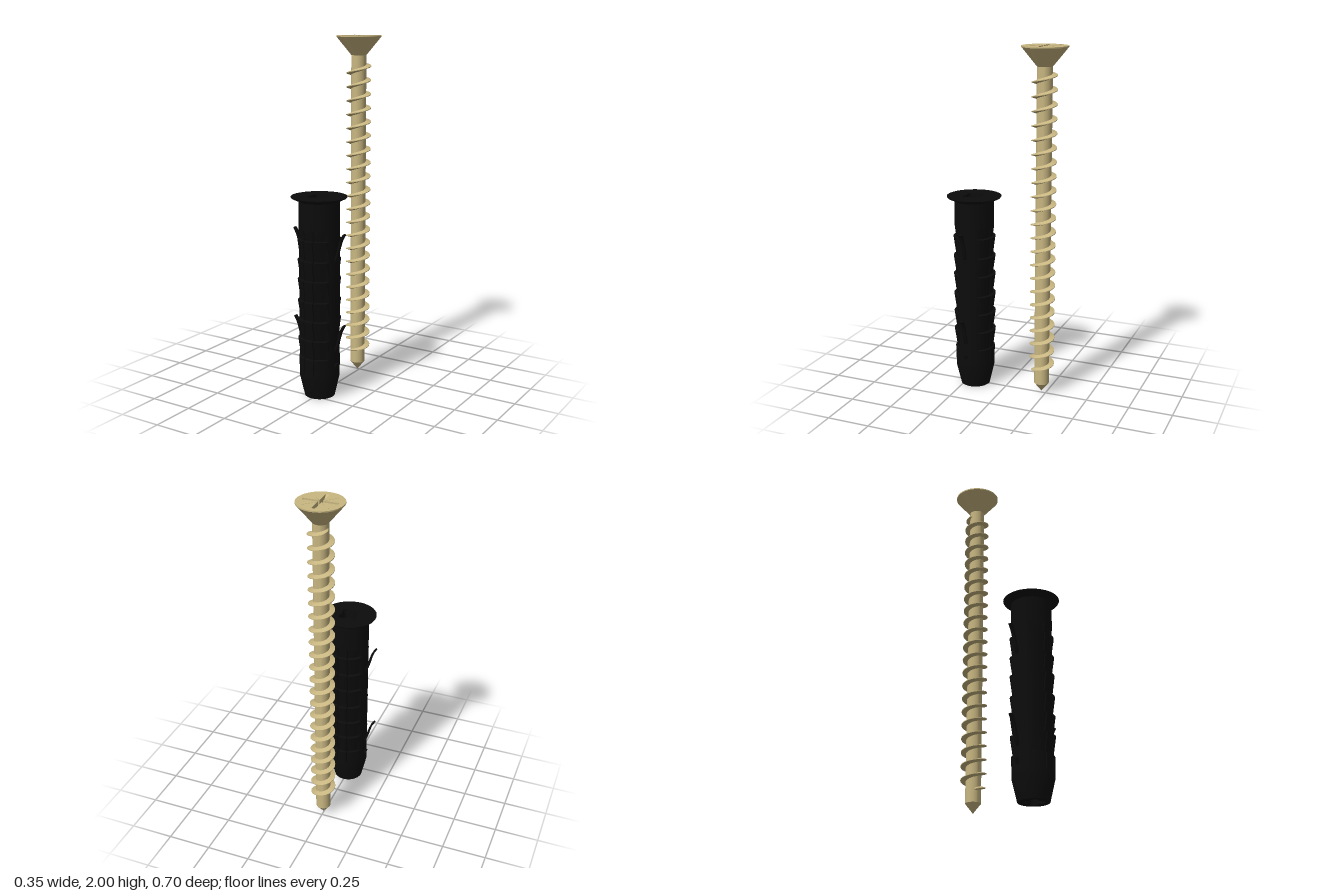
import * as THREE from 'three';
import { toCreasedNormals } from 'three/addons/utils/BufferGeometryUtils.js';

const brass = new THREE.MeshStandardMaterial({ color: 0xc9b782, side: THREE.DoubleSide });
brass.name = 'brass';
const plastic = new THREE.MeshStandardMaterial({ color: 0x0c0c0c, side: THREE.DoubleSide });
plastic.name = 'black plastic';

function add(parent, name, geometry, material) {
  const mesh = new THREE.Mesh(geometry, material);
  mesh.name = name;
  parent.add(mesh);
  return mesh;
}

// Skins a stack of equal-length closed rings; optionally closes both ends of a curved wall section
function loft(rings, capWall) {
  const n = rings[0].length, pos = [];
  const tri = (...points) => points.forEach(p => pos.push(p[0], p[1], p[2]));
  for (let l = 0; l < rings.length - 1; l++) {
    for (let i = 0; i < n; i++) {
      const k = (i + 1) % n, a = rings[l][i], b = rings[l][k], c = rings[l + 1][k], d = rings[l + 1][i];
      tri(a, d, c);
      tri(a, c, b);
    }
  }
  if (capWall) {
    const top = rings[rings.length - 1], bottom = rings[0];
    for (let j = 0; j < n / 2 - 1; j++) {
      const i = n - 1 - j;
      tri(top[j], top[i], top[i - 1]);
      tri(top[j], top[i - 1], top[j + 1]);
      tri(bottom[j], bottom[i - 1], bottom[i]);
      tri(bottom[j], bottom[j + 1], bottom[i - 1]);
    }
  }
  const g = new THREE.BufferGeometry();
  g.setAttribute('position', new THREE.Float32BufferAttribute(pos, 3));
  return toCreasedNormals(g, 0.6);
}

const lathe = (points, segments = 48) => toCreasedNormals(
  new THREE.LatheGeometry(points.map(p => new THREE.Vector2(p[0], p[1])), segments), 0.5);

// Helical thread with a tapered ridge section that fades at both ends
function threadGeometry() {
  const yTop = 1.862, yBottom = 0.135, pitch = 0.079, perTurn = 32;
  const count = Math.round((yTop - yBottom) / pitch * perTurn), rings = [];
  for (let i = 0; i <= count; i++) {
    const t = -i / perTurn * Math.PI * 2, y = yTop - i / perTurn * pitch;
    const fade = Math.min(1, i / 6, (count - i) / 10);
    const crest = 0.043 + 0.028 * fade;
    const point = (r, dy) => [-r * Math.cos(t), y + dy, r * Math.sin(t)];
    rings.push([point(0.04, -0.011), point(crest, -0.002), point(crest, 0.002), point(0.04, 0.011)]);
  }
  return loft(rings, false);
}

// One arm of the drive recess: two walls, a flat floor and a ramp
function recessArm() {
  const w = 0.01, d = -0.06, pos = [];
  const quad = (a, b, c, e) => [a, b, c, a, c, e].forEach(p => pos.push(...p));
  for (const s of [-w, w]) quad([w, 0, s], [0.096, 0, s], [0.04, d, s], [w, d, s]);
  quad([0.04, d, -w], [0.04, d, w], [0.096, 0, w], [0.096, 0, -w]);
  quad([0, d, -w], [0, d, w], [0.04, d, w], [0.04, d, -w]);
  const g = new THREE.BufferGeometry();
  g.setAttribute('position', new THREE.Float32BufferAttribute(pos, 3));
  g.computeVertexNormals();
  return g;
}

function createScrew() {
  const screw = new THREE.Group();
  screw.name = 'screw';
  screw.position.z = -0.225;
  add(screw, 'shank', lathe([[0, 0.01], [0.043, 0.065], [0.043, 1.9]], 32), brass);
  add(screw, 'thread', threadGeometry(), brass);
  add(screw, 'countersunkHead', lathe([[0.043, 1.89], [0.127, 1.993], [0.127, 2]], 64), brass);

  // Head face pierced by a cross
  const face = new THREE.Shape().absarc(0, 0, 0.127, 0, Math.PI * 2);
  const cross = [];
  for (let k = 0; k < 4; k++) {
    const c = Math.round(Math.cos(k * Math.PI / 2)), s = Math.round(Math.sin(k * Math.PI / 2));
    for (const [x, y] of [[0.096, -0.01], [0.096, 0.01], [0.01, 0.01]]) {
      cross.push(new THREE.Vector2(c * x - s * y, s * x + c * y));
    }
  }
  face.holes.push(new THREE.Path(cross));
  const faceMesh = add(screw, 'headFace', new THREE.ShapeGeometry(face, 64), brass);
  faceMesh.rotation.x = -Math.PI / 2;
  faceMesh.position.y = 2;

  for (let k = 0; k < 4; k++) {
    const arm = add(screw, 'driveRecess', recessArm(), brass);
    arm.position.y = 2;
    arm.rotation.y = k * Math.PI / 2;
    // Thin diagonal tick between the arms
    const a = (k + 0.5) * Math.PI / 2;
    const tick = add(screw, 'headTick', new THREE.BoxGeometry(0.073, 0.003, 0.006), brass);
    tick.position.set(0.062 * Math.cos(a), 1.9995, -0.062 * Math.sin(a));
    tick.rotation.y = a;
  }
  return screw;
}

// Height, plain radius, toothed radius, half width of the slit
function sleeveLevels() {
  const gap = 0.0025;
  const levels = [[0, 0.085, 0.085, 0], [0.12, 0.113, 0.113, 0], [0.15, 0.113, 0.113, 0], [0.15, 0.113, 0.113, gap]];
  for (const y of [0.24, 0.35, 0.46, 0.57, 0.69, 0.8, 0.915]) {
    levels.push([y - 0.004, 0.113, y < 0.3 ? 0.115 : 0.121, gap], [y, 0.113, 0.106, gap]);
  }
  levels.push([0.97, 0.113, 0.113, gap], [0.97, 0.113, 0.113, 0], [1.12, 0.113, 0.113, 0],
    [1.138, 0.152, 0.152, 0], [1.145, 0.156, 0.156, 0]);
  return levels;
}

// A quarter of the sleeve wall: round outside, four-lobed bore inside
function sleeveQuarter(k) {
  const steps = 20, slitX = 0.029, mid = k * Math.PI / 2, side = k % 2 === 0;
  const rings = sleeveLevels().map(([y, plain, tooth, gap]) => {
    const outerHalf = side ? Math.acos((slitX + gap) / tooth) : Math.asin((slitX - gap) / tooth);
    const innerHalf = (side ? 1.026 : Math.PI / 2 - 1.026) - (gap ? 0.038 : 0);
    const flare = y > 1.13 ? 0.006 : 0, outer = [], inner = [];
    for (let j = 0; j <= steps; j++) {
      const u = j / steps * 2 - 1, a = mid + u * outerHalf, b = mid + u * innerHalf;
      const R = Math.abs(Math.sin(a)) > 0.5 ? tooth : plain;
      const r = 0.05 - 0.01 * Math.cos(4 * b) + flare;
      outer.push([R * Math.cos(a), y, R * Math.sin(a)]);
      inner.unshift([r * Math.cos(b), y, r * Math.sin(b)]);
    }
    return [...outer, ...inner];
  });
  return loft(rings, true);
}

function createWallPlug() {
  const plug = new THREE.Group();
  plug.name = 'wallPlug';
  plug.position.z = 0.195;
  for (let k = 0; k < 4; k++) add(plug, 'sleeveQuarter', sleeveQuarter(k), plastic);

  // Springy curved wings and small barbs on both sides
  const wing = new THREE.Shape();
  wing.moveTo(0.1, 0.02);
  wing.quadraticCurveTo(0.127, 0.1, 0.167, 0.17);
  wing.lineTo(0.174, 0.163);
  wing.quadraticCurveTo(0.14, 0.1, 0.112, 0);
  const curve = new THREE.Shape();
  curve.moveTo(0.1, 0.01);
  curve.bezierCurveTo(0.128, 0.04, 0.128, 0.13, 0.166, 0.17);
  curve.lineTo(0.174, 0.165);
  curve.bezierCurveTo(0.138, 0.12, 0.138, 0.04, 0.108, 0);
  const barb = new THREE.Shape([[0.1, 0.17], [0.113, 0.18], [0.128, 0.21], [0.1, 0.205]]
    .map(p => new THREE.Vector2(p[0], p[1])));
  const extrude = shape => new THREE.ExtrudeGeometry(shape, { depth: 0.02, bevelEnabled: false, curveSegments: 10 });
  for (const turn of [0, Math.PI]) {
    const wings = new THREE.Group();
    wings.name = 'sideWings';
    wings.rotation.y = turn;
    plug.add(wings);
    for (const y of [0.27, 0.785]) add(wings, 'wing', extrude(curve), plastic).position.y = y;
    add(wings, 'barb', extrude(barb), plastic);
  }
  return plug;
}

export function createModel() {
  const model = new THREE.Group();
  model.name = 'screwAndWallPlug';
  model.add(createScrew(), createWallPlug());
  return model;
}
